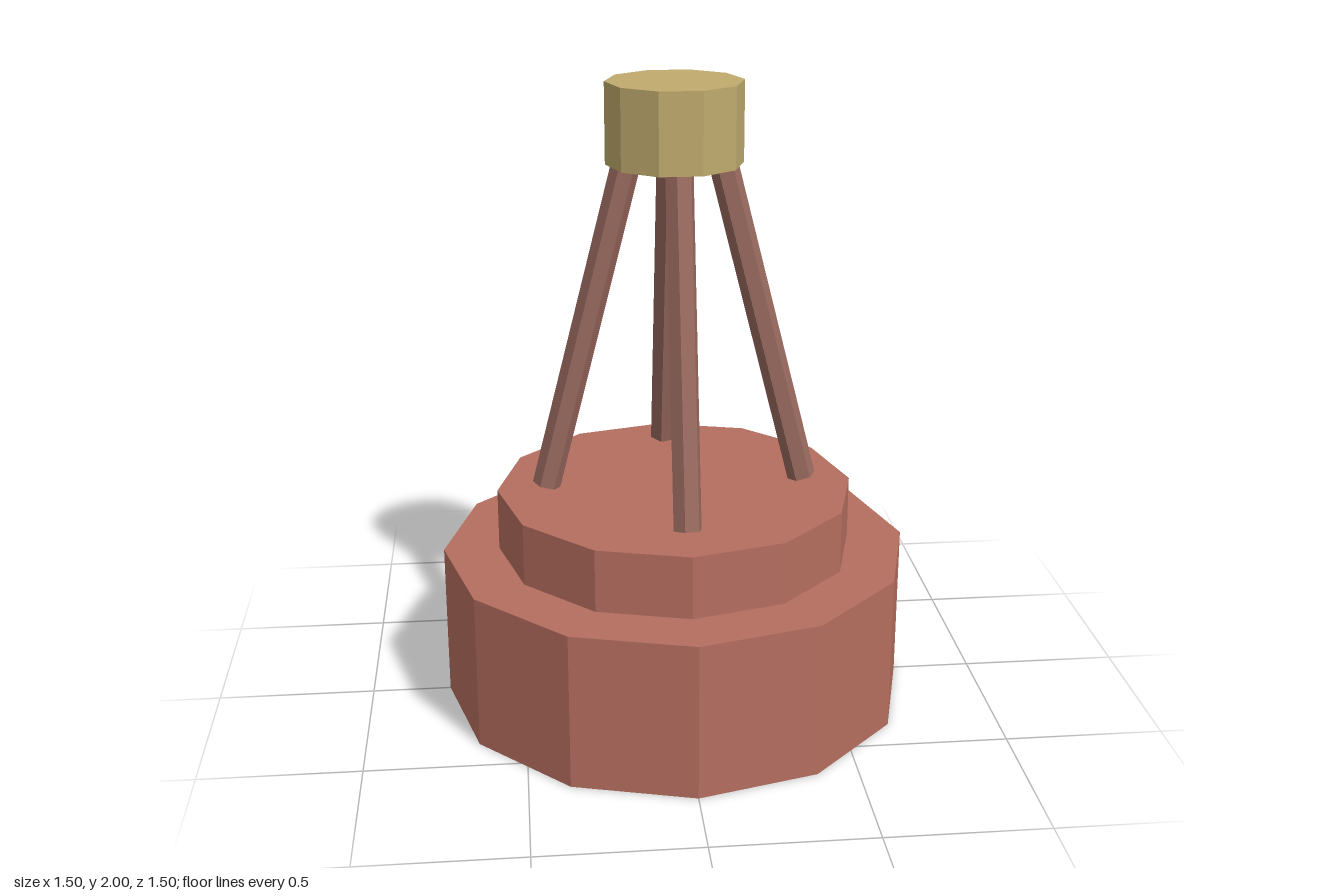
import * as THREE from 'three';

const flat = (name, color) => {
  const m = new THREE.MeshStandardMaterial({ color, flatShading: true });
  m.name = name;
  return m;
};

export function createModel() {
  const model = new THREE.Group();
  model.name = 'pedestalTower';
  const brick = flat('brick red', 0xb56e5f);
  const brown = flat('dusty brown', 0x99695f);
  const brass = flat('dull brass', 0xc0ab6d);

  // Upright prism standing on the given height
  const prism = (name, radius, bottom, height, sides, material) => {
    const mesh = new THREE.Mesh(new THREE.CylinderGeometry(radius, radius, height, sides), material);
    mesh.name = name;
    mesh.position.y = bottom + height / 2;
    model.add(mesh);
    return mesh;
  };

  // Stepped twelve-sided base
  prism('baseDrum', 0.748, 0, 0.5, 12, brick);
  prism('baseStep', 0.57, 0.5, 0.2, 12, brick);

  // Ten-sided cap, corners on the x axis
  prism('cap', 0.212, 1.75, 0.25, 10, brass).rotation.y = Math.PI / 2;

  // Four six-sided legs leaning in to the cap
  const legGeometry = new THREE.CylinderGeometry(0.045, 0.045, 1.1, 6);
  ['backLeg', 'rightLeg', 'frontLeg', 'leftLeg'].forEach((name, i) => {
    const pivot = new THREE.Group();
    pivot.name = name;
    pivot.rotation.y = (i * Math.PI) / 2;
    const leg = new THREE.Mesh(legGeometry, brown);
    leg.name = name + 'Post';
    leg.position.set(0, 1.25, -0.276);
    // Front and back legs are twisted a little about their own axis
    leg.rotation.set(0.25, i % 2 ? 0 : -0.26, 0);
    pivot.add(leg);
    model.add(pivot);
  });

  return model;
}
